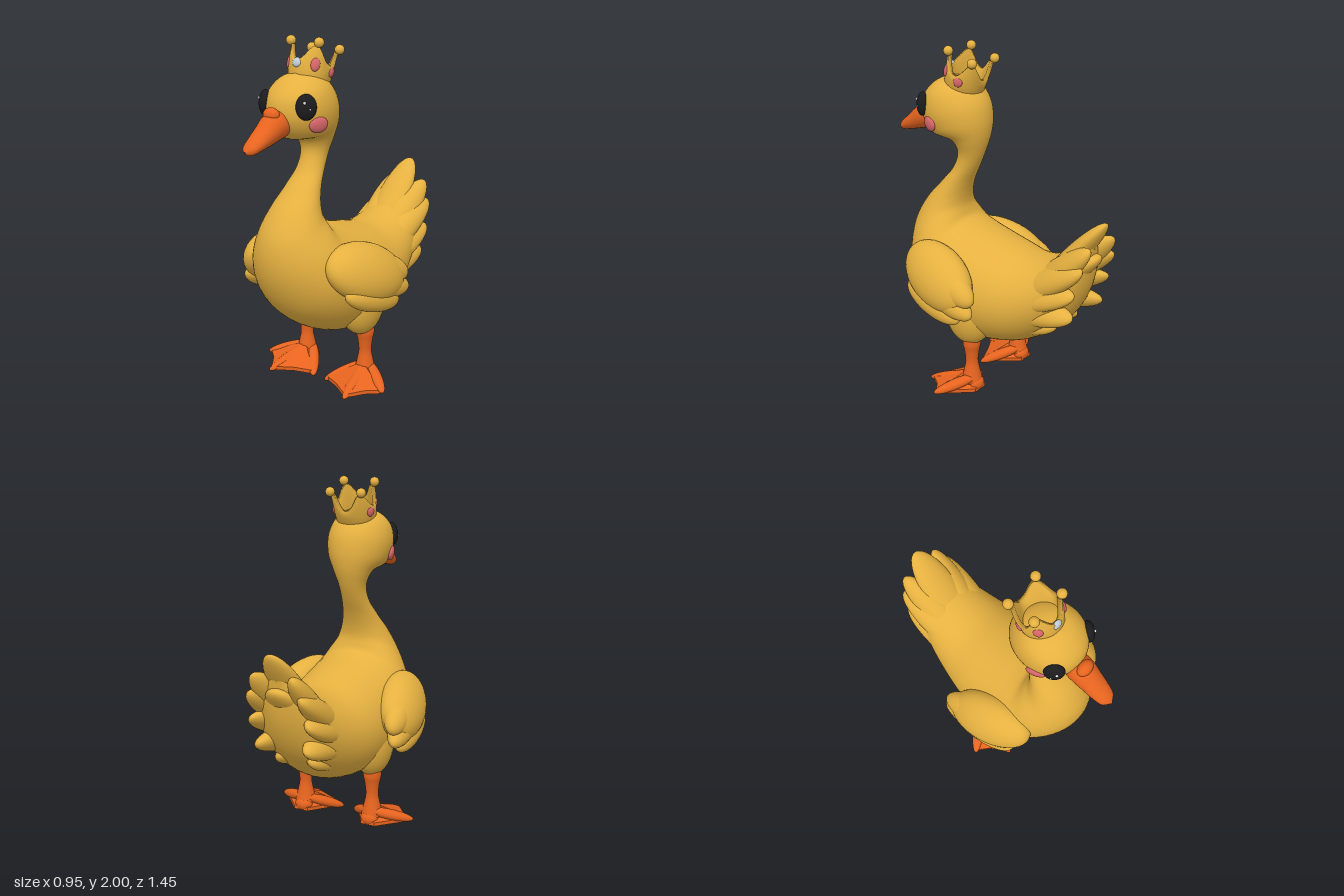
import * as THREE from 'three';

const mat = (name, color) => {
  const m = new THREE.MeshStandardMaterial({ color });
  m.name = name;
  return m;
};

const V = (x, y, z) => new THREE.Vector3(x, y, z);

const build = (pos, idx) => {
  const g = new THREE.BufferGeometry();
  g.setAttribute('position', new THREE.Float32BufferAttribute(pos, 3));
  if (idx) g.setIndex(idx);
  g.computeVertexNormals();
  return g;
};

// Smooth skin over elliptical sections; each row: top z, y, bottom z, y, half width
function loft(rows, rings, sides) {
  const top = new THREE.CatmullRomCurve3(rows.map(r => V(0, r[1], r[0])));
  const bottom = new THREE.CatmullRomCurve3(rows.map(r => V(r[4], r[3], r[2])));
  const pos = [], idx = [];
  for (let i = 0; i <= rings; i++) {
    const a = top.getPoint(i / rings), b = bottom.getPoint(i / rings);
    for (let j = 0; j < sides; j++) {
      const t = (j / sides) * Math.PI * 2, c = Math.cos(t) / 2;
      pos.push(b.x * Math.sin(t), (a.y + b.y) / 2 + (a.y - b.y) * c, (a.z + b.z) / 2 + (a.z - b.z) * c);
      if (i < rings) {
        const k = (j + 1) % sides, p = i * sides, q = p + sides;
        idx.push(p + j, q + j, p + k, p + k, q + j, q + k);
      }
    }
  }
  return build(pos, idx);
}

// Crown wall: a ring whose rim rises to four points
function crownWall() {
  const n = 96, pos = [], idx = [];
  for (let i = 0; i < n; i++) {
    const t = (i / n) * Math.PI * 2;
    const h = 0.06 + 0.085 * Math.pow(Math.abs(Math.sin(2 * t)), 2.5);
    for (const [r, y] of [[0.11, -0.06], [0.12, 0.02], [0.127, h], [0.104, h], [0.088, -0.06]])
      pos.push(Math.sin(t) * r, y, Math.cos(t) * r);
    const p = i * 5, q = ((i + 1) % n) * 5;
    for (let k = 0; k < 5; k++) {
      const m = (k + 1) % 5;
      idx.push(p + k, q + k, p + m, p + m, q + k, q + m);
    }
  }
  return build(pos, idx);
}

// Webbing: a low closed fan from the ankle to the toe tips
function webGeometry() {
  const rim = [[0.425, 0.05, 0.12], [0.27, 0.05, -0.05], [0.18, 0.05, -0.05], [0.055, 0.035, 0.155],
    [0.16, 0.04, 0.2], [0.283, 0.035, 0.27], [0.35, 0.045, 0.18]];
  const pos = [];
  rim.forEach((a, i) => {
    const b = rim[(i + 1) % rim.length];
    const a0 = [a[0], a[1] - 0.022, a[2]], b0 = [b[0], b[1] - 0.022, b[2]];
    pos.push(0.222, 0.135, 0.035, ...a, ...b, 0.222, 0.03, 0.035, ...b0, ...a0);
    pos.push(...a, ...a0, ...b, ...b, ...a0, ...b0);
  });
  return build(pos);
}

export function createModel() {
  const gold = mat('golden plumage', 0xe6b140);
  const orange = mat('orange', 0xe8641f);
  const black = mat('eye black', 0x1c1c1e);
  const pink = mat('pink', 0xdb686c);
  const silver = mat('silver', 0xc3cfdc);
  const white = mat('white', 0xffffff);

  const model = new THREE.Group();
  model.name = 'crownedGoose';
  const ball = new THREE.SphereGeometry(1, 32, 24);

  const add = (parent, name, geo, m) => {
    const mesh = new THREE.Mesh(geo, m);
    mesh.name = name;
    parent.add(mesh);
    return mesh;
  };
  const blob = (parent, name, m, p, r) => {
    const mesh = add(parent, name, ball, m);
    mesh.position.set(...p);
    mesh.scale.set(...r);
    return mesh;
  };
  // Flattened ellipsoid running from base to tip, thin along the normal
  const petal = (parent, name, m, base, tip, width, thick, normal) => {
    const a = V(...base), b = V(...tip), y = b.clone().sub(a);
    const half = y.length() / 2;
    y.normalize();
    const x = y.clone().cross(V(...normal)).normalize();
    const mesh = blob(parent, name, m, a.add(b).multiplyScalar(0.5).toArray(), [width, half, thick]);
    mesh.quaternion.setFromRotationMatrix(new THREE.Matrix4().makeBasis(x, y, x.clone().cross(y)));
  };

  // Body, neck and head in one skin
  const body = add(model, 'bodyNeckAndHead', loft([
    [-0.675, 1.09, -0.66, 1.02, 0.01], [-0.625, 1.065, -0.625, 0.78, 0.1], [-0.53, 0.985, -0.545, 0.605, 0.185],
    [-0.4, 0.915, -0.43, 0.475, 0.235], [-0.25, 0.89, -0.27, 0.365, 0.28], [-0.1, 0.915, -0.08, 0.31, 0.32],
    [0.05, 0.95, 0.1, 0.31, 0.335], [0.15, 0.975, 0.3, 0.39, 0.335], [0.2, 1.0, 0.46, 0.53, 0.305],
    [0.218, 1.04, 0.555, 0.73, 0.25], [0.225, 1.08, 0.56, 0.92, 0.188], [0.217, 1.14, 0.49, 1.07, 0.142],
    [0.19, 1.22, 0.387, 1.19, 0.105], [0.14, 1.32, 0.295, 1.3, 0.08], [0.105, 1.4, 0.262, 1.4, 0.083],
    [0.075, 1.5, 0.29, 1.463, 0.115], [0.068, 1.6, 0.42, 1.49, 0.168], [0.09, 1.7, 0.487, 1.58, 0.187],
    [0.15, 1.78, 0.487, 1.69, 0.165], [0.23, 1.82, 0.42, 1.78, 0.1], [0.31, 1.828, 0.34, 1.822, 0.005],
  ], 120, 48), gold);

  // Beak with knob
  add(model, 'beak', loft([
    [0.42, 1.62, 0.4, 1.54, 0.03], [0.49, 1.65, 0.44, 1.505, 0.07], [0.55, 1.63, 0.5, 1.487, 0.073],
    [0.595, 1.59, 0.56, 1.47, 0.066], [0.65, 1.54, 0.63, 1.453, 0.058], [0.7, 1.497, 0.69, 1.441, 0.042],
    [0.724, 1.465, 0.719, 1.452, 0.005],
  ], 36, 28), orange);
  blob(model, 'beakKnob', orange, [0, 1.628, 0.525], [0.05, 0.038, 0.036]);

  // Eyes and cheeks sit on the head surface, found along a line of sight
  body.updateMatrixWorld(true);
  const patch = (name, m, at, dir, size) => {
    const d = V(...dir).normalize();
    const ray = new THREE.Raycaster(V(...at).addScaledVector(d, 1), d.clone().negate());
    const { point } = ray.intersectObject(body)[0];
    const mesh = blob(model, name, m, point.toArray(), size);
    mesh.lookAt(point.clone().add(d));
    return mesh;
  };
  for (const [s, x, z] of [[1, 0.135, 0.41], [-1, 0.12, 0.425]]) {
    const eye = patch('eye', black, [s * x, 1.668, z], [s * 0.76, 0.06, 0.64], [0.055, 0.068, 0.034]);
    for (const [u, v, r] of [[0.012, 0.024, 0.008], [-0.016, -0.01, 0.005]]) {
      const depth = 0.034 * Math.sqrt(1 - (u / 0.055) ** 2 - (v / 0.068) ** 2);
      const at = V(-s * u, v, depth).applyQuaternion(eye.quaternion).add(eye.position);
      blob(model, 'eyeGlint', white, at.toArray(), [r, r, r]);
    }
    patch('cheek', pink, [s * 0.155, 1.572, 0.343], [s * 0.9, -0.12, 0.36], [0.054, 0.044, 0.02]);
  }

  // Crown, tipped back on the head
  const crown = new THREE.Group();
  crown.name = 'crown';
  crown.position.set(0, 1.8, 0.225);
  crown.rotation.x = -0.3;
  model.add(crown);
  add(crown, 'crownWall', crownWall(), gold);
  for (const x of [-0.098, 0.098])
    for (const z of [-0.087, 0.087]) blob(crown, 'crownBall', gold, [x, 0.162, z], [0.027, 0.027, 0.027]);
  const gem = (angle, y, m, w, h) => {
    const g = blob(crown, 'crownGem', m, [Math.sin(angle) * 0.119, y, Math.cos(angle) * 0.119], [w, h, 0.013]);
    g.rotation.y = angle;
  };
  gem(0, 0.045, silver, 0.028, 0.026);
  for (const s of [-1, 1]) {
    gem(s * 0.88, 0.048, pink, 0.025, 0.036);
    gem(s * 1.87, 0.032, pink, 0.027, 0.028);
  }

  // Tail feathers: base, tip, half width, thickness
  const middle = [
    [[0, 0.66, -0.29], [0, 1.18, -0.725], 0.11, 0.058],
    [[0, 0.64, -0.2], [0, 0.98, -0.695], 0.13, 0.07],
  ];
  const paired = [
    [[0.06, 0.62, -0.22], [0.118, 1.06, -0.705], 0.09, 0.068],
    [[0.1, 0.63, -0.14], [0.158, 0.95, -0.685], 0.09, 0.068],
    [[0.13, 0.6, -0.06], [0.172, 0.8, -0.65], 0.09, 0.062],
    [[0.12, 0.57, -0.02], [0.15, 0.65, -0.63], 0.09, 0.068],
    [[0.08, 0.48, 0.04], [0.1, 0.545, -0.5], 0.095, 0.07],
  ];
  for (const [a, b, w, t] of middle) petal(model, 'tailFeather', gold, a, b, w, t, [0, 1, 1]);

  // Everything that comes in pairs is built for the left side and mirrored
  for (const s of [1, -1]) {
    const half = new THREE.Group();
    half.name = s > 0 ? 'leftSide' : 'rightSide';
    half.scale.x = s;
    model.add(half);

    for (const [a, b, w, t] of paired) petal(half, 'tailFeather', gold, a, b, w, t, [0.7, 0.7, 0.5]);

    // Wing with three flight feathers; the right one hangs a little lower
    const wing = new THREE.Group();
    wing.name = 'wing';
    if (s < 0) wing.position.set(0, -0.03, 0.015);
    half.add(wing);
    const out = [0.9, 0.46, 0.15];
    petal(wing, 'wingCover', gold, [0.275, 0.83, 0.41], [0.395, 0.665, -0.09], 0.17, 0.12, out);
    petal(wing, 'wingFeather', gold, [0.33, 0.82, 0.24], [0.4, 0.68, -0.135], 0.09, 0.075, out);
    petal(wing, 'wingFeather', gold, [0.35, 0.72, 0.3], [0.41, 0.605, -0.135], 0.08, 0.068, out);
    petal(wing, 'wingFeather', gold, [0.365, 0.67, 0.36], [0.405, 0.55, -0.045], 0.08, 0.068, out);

    // Thigh, leg and webbed foot
    blob(half, 'thigh', gold, [0.215, 0.515, 0.035], [0.115, 0.2, 0.155]);
    const leg = add(half, 'leg', new THREE.LatheGeometry(new THREE.SplineCurve([
      [0.02, 0.04], [0.06, 0.07], [0.05, 0.13], [0.037, 0.2], [0.043, 0.27], [0.053, 0.32], [0.05, 0.38],
    ].map(p => new THREE.Vector2(...p))).getPoints(24), 24), orange);
    leg.position.set(0.224, 0, 0.012);
    add(half, 'web', webGeometry(), orange);
    for (const tip of [[0.44, 0.04, 0.125], [0.285, 0.015, 0.285], [0.043, 0.012, 0.165]])
      petal(half, 'toe', orange, [0.215, 0.115, -0.03], tip, 0.036, 0.03, [0, 1, 0]);
    blob(half, 'heel', orange, [0.222, 0.06, -0.015], [0.055, 0.045, 0.045]);
  }

  return model;
}
